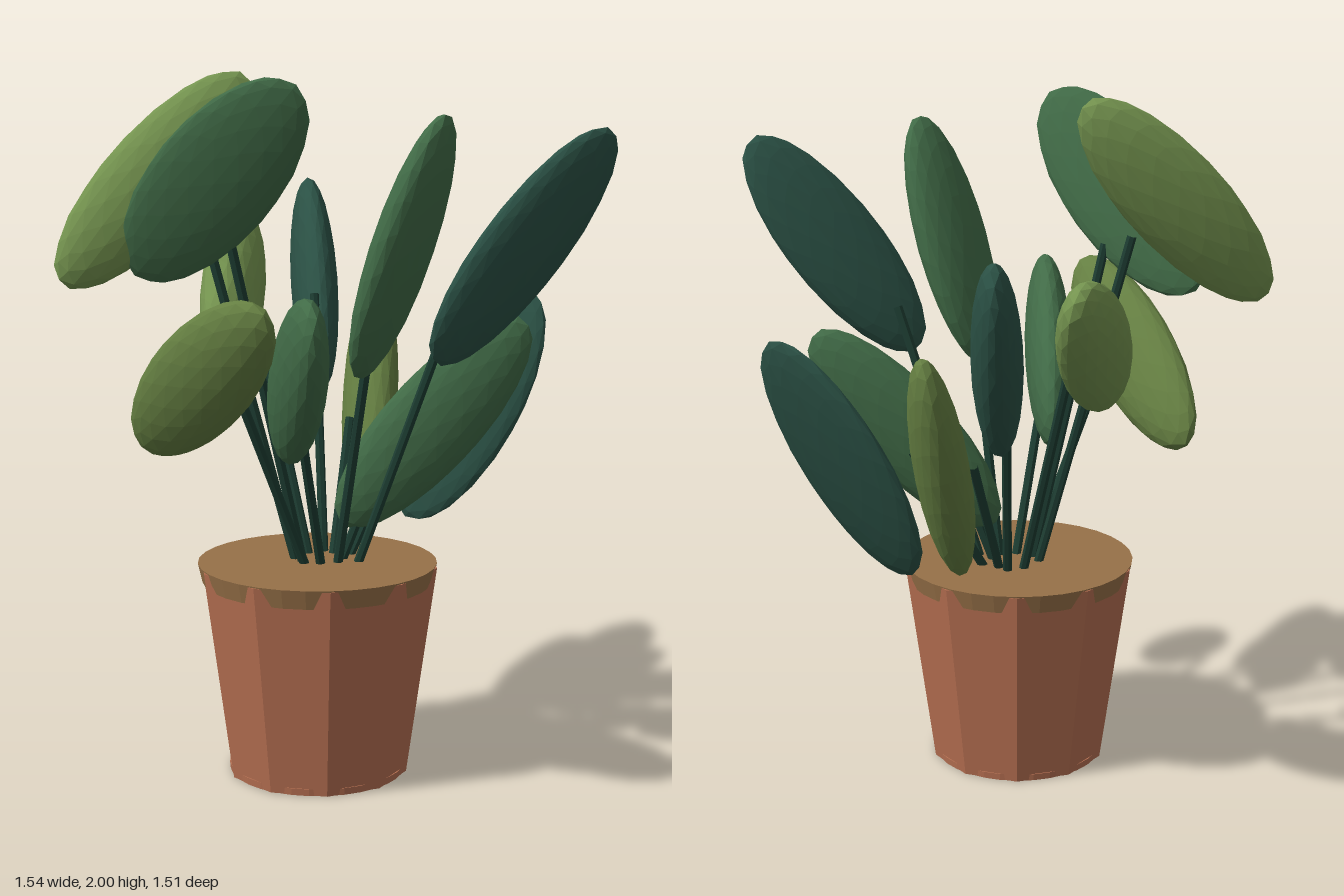
import * as THREE from 'three';

const paint = (color) => new THREE.MeshStandardMaterial({ color, flatShading: true });
const LIGHT = paint(0x74934f), OLIVE = paint(0x657f42), MID = paint(0x416b47);
const DARK = paint(0x2b5145), STEM = paint(0x1d3d32);
const CLAY = paint(0xb56f51), SOIL = paint(0x977148);

function addMesh(parent, name, geometry, material) {
  const mesh = new THREE.Mesh(geometry, material);
  mesh.name = name;
  parent.add(mesh);
  return mesh;
}

// Leaf blade: a sphere sheared into a flat, tilted ellipsoid.
// half = half extents of its bounding box, lean = tilt in the xy, yz and zx planes (-1..1).
function bladeGeometry(center, half, [xy, yz, zx]) {
  const [hx, hy, hz] = half;
  const b = Math.sqrt(1 - xy * xy);
  const c = (yz - xy * zx) / b;
  const d = Math.sqrt(Math.max(1 - zx * zx - c * c, 0.03));
  const shear = new THREE.Matrix4().set(
    hx, 0, 0, center[0],
    hy * xy, hy * b, 0, center[1],
    hz * zx, hz * c, hz * d, center[2],
    0, 0, 0, 1);
  return new THREE.IcosahedronGeometry(1, 3).applyMatrix4(shear);
}

// Straight stalk: all stalks spread from one crown below the soil
const CROWN = new THREE.Vector3(-0.01, 0, 0.09);
function stemGeometry(top) {
  const tip = new THREE.Vector3(...top);
  const foot = CROWN.clone().lerp(tip, 0.25).setY(0.6);
  return new THREE.TubeGeometry(new THREE.LineCurve3(foot, tip), 1, 0.014, 7, false);
}

// Each leaf: material, blade centre, half extents, lean, stem top
const LEAVES = [
  [LIGHT, [-0.485, 1.70, 0.025], [0.285, 0.30, 0.105], [0.77, -0.65, -0.62], [-0.36, 1.6, 0.048]],
  [MID, [-0.337, 1.70, 0.25], [0.248, 0.283, 0.18], [0.6, 0.87, 0.85], [-0.29, 1.55, 0.2]],
  [OLIVE, [-0.383, 1.185, 0.405], [0.183, 0.245, 0.305], [0.57, 0.8, 0.83], [-0.27, 1.12, 0.26]],
  [MID, [-0.127, 1.18, 0.443], [0.073, 0.253, 0.315], [0.1, 0.65, 0.2], [-0.1, 1.0, 0.29]],
  [LIGHT, [-0.25, 1.355, -0.30], [0.11, 0.235, 0.34], [0.3, -0.75, -0.55], [-0.19, 1.3, -0.19]],
  [DARK, [0.01, 1.355, -0.475], [0.07, 0.31, 0.285], [0.05, -0.74, 0], [-0.01, 1.34, -0.27]],
  [OLIVE, [0.165, 1.01, -0.31], [0.09, 0.36, 0.21], [0.45, -0.78, -0.25], [0.085, 0.98, -0.16]],
  [DARK, [0.45, 1.01, -0.207], [0.225, 0.35, 0.112], [0.73, -0.25, 0.38], [0.26, 1.0, -0.08]],
  [MID, [0.293, 1.01, 0.106], [0.283, 0.305, 0.068], [0.78, 0.05, 0.1], [0.15, 0.92, 0.105]],
  [DARK, [0.506, 1.525, 0.303], [0.264, 0.325, 0.092], [0.8, 0.1, -0.35], [0.32, 1.35, 0.25]],
  [MID, [0.162, 1.528, 0.366], [0.142, 0.362, 0.167], [0.7, 0.5, 0], [0.09, 1.27, 0.26]],
];

export function createModel() {
  const plant = new THREE.Group();
  plant.name = 'pottedPlant';

  // Faceted clay pot with a rounder foot
  const pot = new THREE.Group();
  pot.name = 'pot';
  pot.position.set(-0.04, 0, 0.112);
  plant.add(pot);
  addMesh(pot, 'potWall', new THREE.CylinderGeometry(0.347, 0.262, 0.61, 10), CLAY).position.y = 0.306;
  addMesh(pot, 'potFoot', new THREE.CylinderGeometry(0.256, 0.254, 0.02, 32), CLAY).position.y = 0.01;

  // Soil disc filling the rim
  addMesh(pot, 'soil', new THREE.CylinderGeometry(0.343, 0.33, 0.055, 32), SOIL).position.y = 0.5875;

  // Leaves fanning out on their stems
  for (const [material, center, half, lean, stemTop] of LEAVES) {
    const leaf = new THREE.Group();
    leaf.name = 'leaf';
    addMesh(leaf, 'leafBlade', bladeGeometry(center, half, lean), material);
    addMesh(leaf, 'leafStem', stemGeometry(stemTop), STEM);
    plant.add(leaf);
  }
  return plant;
}
